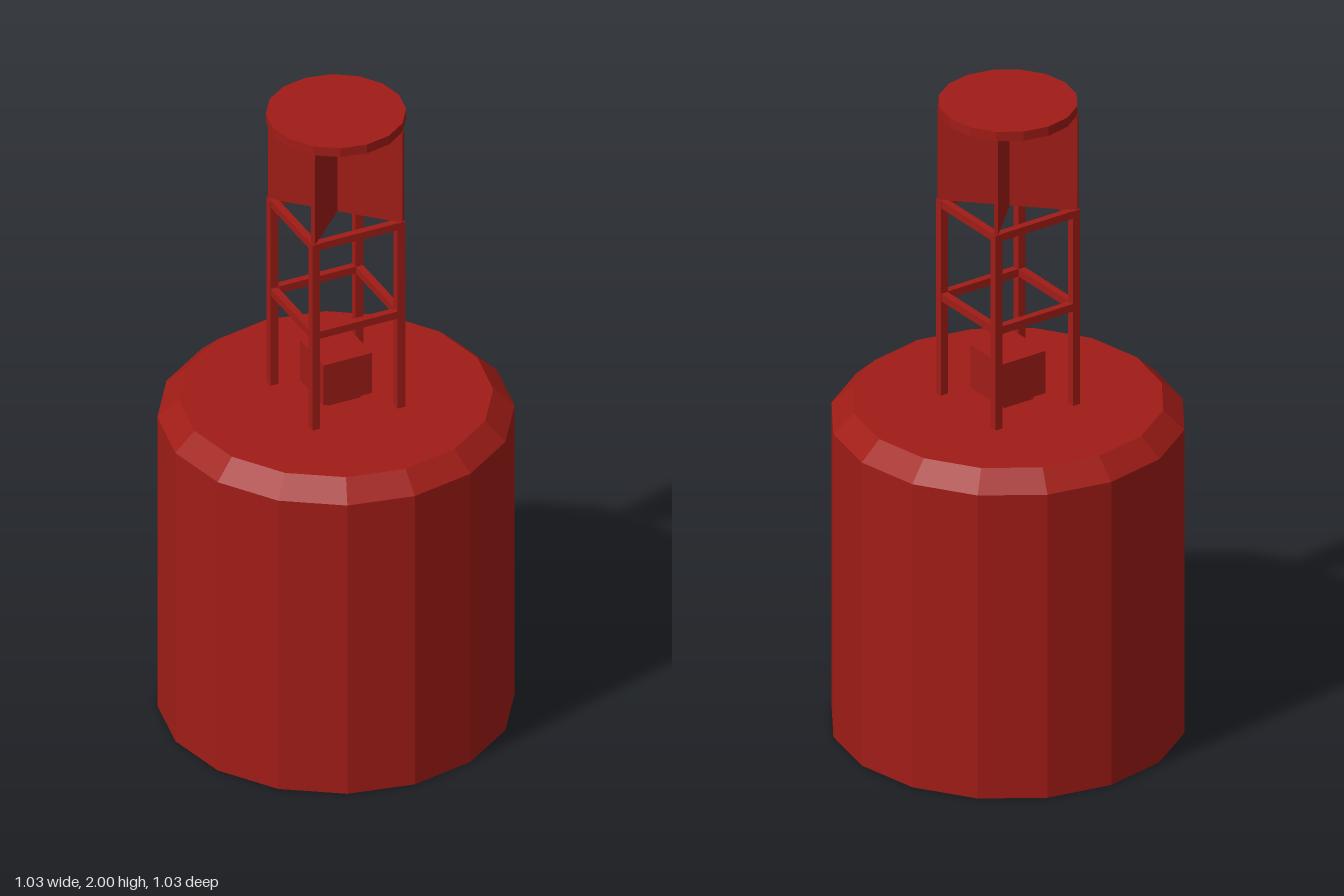
import * as THREE from 'three';

export function createModel() {
  const model = new THREE.Group();
  model.name = 'buoy';
  const red = new THREE.MeshStandardMaterial({ color: 0xa01c16, flatShading: true });

  function add(parent, name, geometry, x, y, z) {
    const mesh = new THREE.Mesh(geometry, red);
    mesh.name = name;
    mesh.position.set(x, y, z);
    parent.add(mesh);
    return mesh;
  }
  // Box given by its bottom and top heights
  const block = (parent, name, w, d, y0, y1, x = 0, z = 0) =>
    add(parent, name, new THREE.BoxGeometry(w, y1 - y0, d), x, (y0 + y1) / 2, z);
  // Sixteen-sided drum
  const drum = (parent, name, rTop, rBottom, y0, y1, open = false) =>
    add(parent, name, new THREE.CylinderGeometry(rTop, rBottom, y1 - y0, 16, 1, open), 0, (y0 + y1) / 2, 0);

  // Floating hull: closed body with a bevelled shoulder and flat deck
  const profile = [[0, 0], [0.517, 0], [0.517, 0.98], [0.455, 1.038], [0, 1.038]];
  add(model, 'hull', new THREE.LatheGeometry(profile.map(([r, y]) => new THREE.Vector2(r, y)), 16), 0, 0, 0);

  // Equipment box on its stepped foot
  const equipment = new THREE.Group();
  equipment.name = 'equipmentBox';
  model.add(equipment);
  block(equipment, 'foot', 0.075, 0.075, 1.03, 1.045);
  block(equipment, 'footPlate', 0.105, 0.105, 1.042, 1.064);
  block(equipment, 'case', 0.155, 0.155, 1.064, 1.2);

  // Lattice tower: four posts and two rings of cross beams
  const tower = new THREE.Group();
  tower.name = 'tower';
  model.add(tower);
  const p = 0.137, t = 0.025;
  for (const x of [-p, p]) for (const z of [-p, p]) block(tower, 'post', t, t, 1.03, 1.665, x, z);
  for (const top of [1.367, 1.667]) {
    for (const s of [-p, p]) {
      block(tower, 'crossBeam', 2 * p - t, 0.022, top - 0.024, top, 0, s);
      block(tower, 'sideBeam', 0.022, 2 * p + t, top - 0.024, top, s, 0);
    }
  }

  // Radar reflector: two crossed upright plates on the diagonals
  const reflector = new THREE.Group();
  reflector.name = 'reflector';
  model.add(reflector);
  for (const s of [-1, 1]) {
    block(reflector, 'reflectorPlate', 0.41, 0.012, 1.665, 1.972).rotation.y = s * Math.PI / 4;
  }

  // Round cap
  drum(model, 'cap', 0.203, 0.203, 1.97, 2);
  return model;
}
